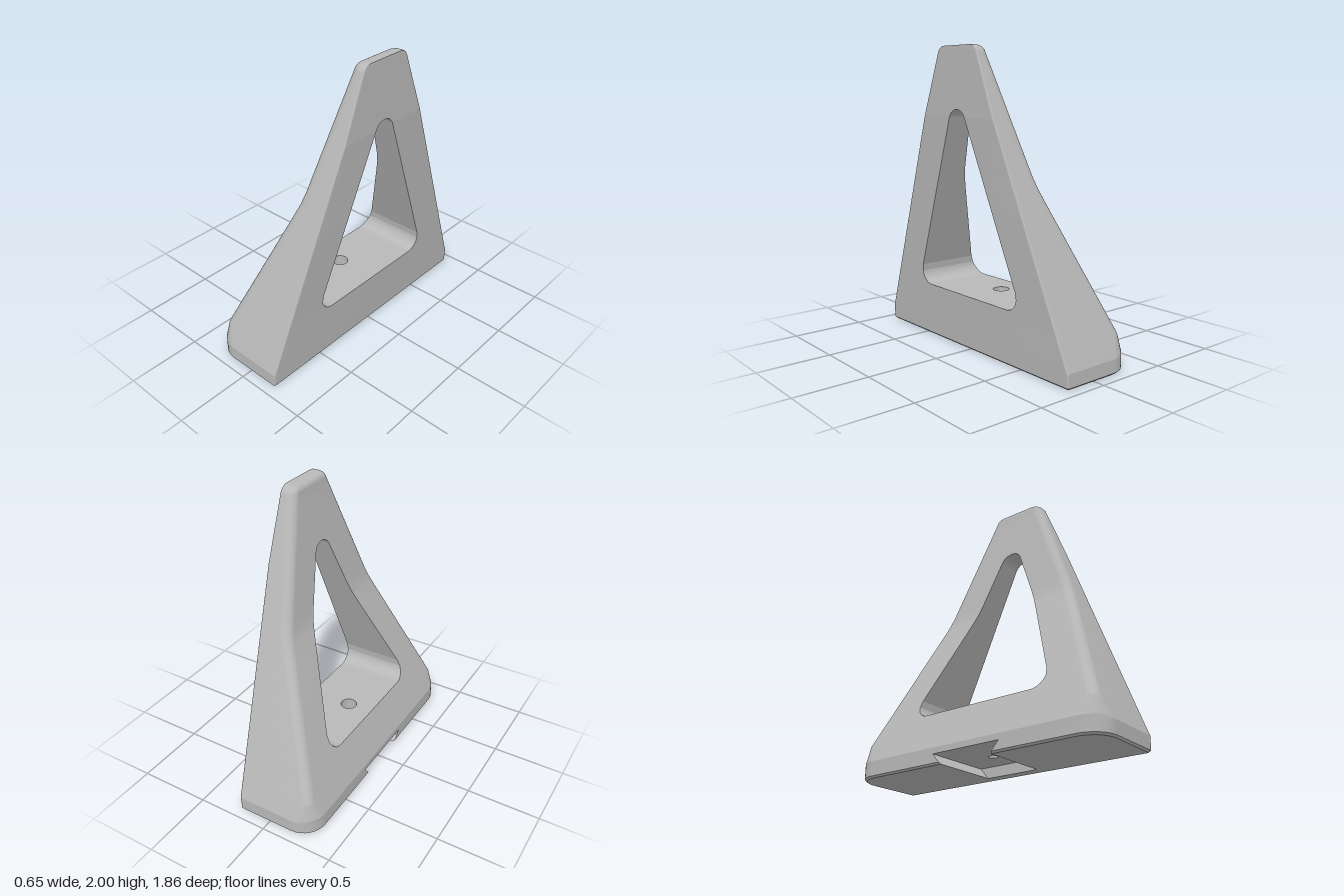
import * as THREE from 'three';
import { toCreasedNormals } from 'three/addons/utils/BufferGeometryUtils.js';

const SLOT = 0.07, FLOOR = 0.37, APEX = 1.6, TOP = 2;

// piecewise linear lookup of a value by height, points are [y, value]
function lerp(pts, y) {
  if (y <= pts[0][0]) return pts[0][1];
  for (let i = 1; i < pts.length; i++) {
    const [y0, a] = pts[i - 1], [y1, b] = pts[i];
    if (y <= y1) return a + (b - a) * (y - y0) / (y1 - y0);
  }
  return pts[pts.length - 1][1];
}
const arc = (r, d) => Math.sqrt(Math.max(0, r * r - d * d));

// back, front and side limits of the body by height
const backX = y => y > 1.955 ? 0.265 - arc(0.045, y - 1.955)
  : lerp([[0, -0.318], [0.012, -0.33], [0.11, -0.33], [1.02, 0.03], [1.125, 0.07], [1.2, 0.09], [1.28, 0.104], [1.955, 0.22]], y);
const faceX = y => lerp([[0, 0.213], [0.012, 0.226], [1.55, 0.32]], y);
const outerZ = y => y > 1.955 ? 0.14 + arc(0.07, y - 1.93)
  : lerp([[0, 0.918], [0.012, 0.93], [0.1, 0.93], [1.955, 0.205]], y);
const cornerR = y => Math.min(lerp([[0.1, 0.16], [0.23, 0.06]], y), 0.6 * (faceX(y) - backX(y)));

// half width of the triangular window with rounded corners
function windowZ(y) {
  if (y < 0.4995) return 0.405 + arc(0.095, y - 0.465);
  if (y < 1.546) return lerp([[0.4995, 0.4935], [1.546, 0.079]], y);
  return arc(0.085, y - 1.515);
}

// horizontal half section, from the face round the outside to the back
function section(y, zi) {
  const xl = backX(y), xr = faceX(y), zo = outerZ(y), r = cornerR(y), q = 0.012, g = 0.006;
  const p = [[xr, zi], [xr, zo - q - g]];
  for (let i = 0; i <= 8; i++) {
    const t = i / 8 * Math.PI / 2;
    p.push([xr - q + q * Math.cos(t), zo - q + q * Math.sin(t)]);
  }
  p.push([xr - q - g / 2, zo], [xl + r + g / 2, zo]);
  for (let i = 0; i <= 8; i++) {
    const t = i / 8 * Math.PI / 2;
    p.push([xl + r - r * Math.sin(t), zo - r + r * Math.cos(t)]);
  }
  p.push([xl, zo - r - g], [xl, zi]);
  return p.map(([x, z]) => [x, y, z]);
}

function bodyGeometry() {
  // heights: breakpoints, even steps, and steps by angle along the arcs
  const ys = [0, 0.012, 0.1, 0.11, 0.115, 0.23, 1.02, 1.125, 1.2, 1.28, 1.55, 1.955, SLOT, FLOOR, APEX, TOP, 0.4995, 0.504, 1.54, 1.546];
  for (let y = 0.15; y < 1.95; y += 0.05) ys.push(y);
  for (let i = 1; i < 12; i++) {
    const t = i / 12 * Math.PI / 2;
    ys.push(0.465 - 0.095 * Math.cos(t), 1.515 + 0.085 * Math.sin(0.37 + (Math.PI / 2 - 0.37) * i / 12), 1.955 + 0.045 * Math.sin(t));
  }
  ys.sort((a, b) => a - b);
  const levels = ys.filter((y, i) => i === 0 || y - ys[i - 1] > 1e-4);
  const inner = (y, mid) => mid < SLOT ? 0.19 + 0.06 * y / SLOT : mid > FLOOR && mid < APEX ? windowZ(y) : 0;
  const out = [];
  const tri = (a, b, c) => {
    out.push(...a, ...b, ...c);
    for (const v of [a, c, b]) out.push(v[0], v[1], -v[2]);
  };
  for (let k = 0; k + 1 < levels.length; k++) {
    const y0 = levels[k], y1 = levels[k + 1], mid = (y0 + y1) / 2;
    const a = section(y0, inner(y0, mid)), b = section(y1, inner(y1, mid)), n = a.length;
    const open = mid < SLOT || (mid > FLOOR && mid < APEX);
    for (let i = 0; i < (open ? n : n - 1); i++) {
      const j = (i + 1) % n;
      tri(a[j], a[i], b[i]);
      tri(a[j], b[i], b[j]);
    }
    // underside and top caps
    if (k === 0) for (let i = 1; i + 1 < n; i++) tri(a[0], a[i], a[i + 1]);
    if (k === levels.length - 2) for (let i = 1; i + 1 < n; i++) tri(b[0], b[i + 1], b[i]);
  }
  const geo = new THREE.BufferGeometry();
  geo.setAttribute('position', new THREE.Float32BufferAttribute(out, 3));
  return toCreasedNormals(geo, 0.25);
}

// flat horizontal plate with a round hole for the screw
function plate(x0, x1, halfZ, holeR, y) {
  const s = new THREE.Shape([[x0, -halfZ], [x1, -halfZ], [x1, halfZ], [x0, halfZ]].map(p => new THREE.Vector2(...p)));
  s.holes.push(new THREE.Path().absarc(-0.05, 0, holeR, 0, Math.PI * 2, true));
  return new THREE.ShapeGeometry(s, 24).rotateX(-Math.PI / 2).translate(0, y, 0);
}

export function createModel() {
  const group = new THREE.Group();
  const grey = new THREE.MeshStandardMaterial({ color: 0xb8b8b8 });
  grey.name = 'grey';
  const greyOpen = grey;
  greyOpen.side = THREE.DoubleSide;
  const add = (name, geo) => {
    const m = new THREE.Mesh(geo, grey);
    m.name = name;
    group.add(m);
    return m;
  };

  add('triangularBody', bodyGeometry());
  add('windowFloor', plate(backX(FLOOR), faceX(FLOOR), 0.405, 0.055, FLOOR));
  add('slotCeiling', plate(-0.33, 0.14, 0.25, 0.03, SLOT));

  // stop that closes the dovetail slot at the face
  const stop = new THREE.Shape([[0.14, 0], [0.213, 0], [0.226, 0.012], [faceX(SLOT), SLOT], [0.14, SLOT]].map(p => new THREE.Vector2(...p)));
  add('slotStop', new THREE.ExtrudeGeometry(stop, { depth: 0.5, bevelEnabled: false }).translate(0, 0, -0.25));

  // counterbored screw hole
  const bore = [[0.03, SLOT], [0.03, 0.25], [0.055, 0.25], [0.055, FLOOR]].map(p => new THREE.Vector2(...p));
  add('screwHole', toCreasedNormals(new THREE.LatheGeometry(bore, 32), 0.5)).position.x = -0.05;
  return group;
}
